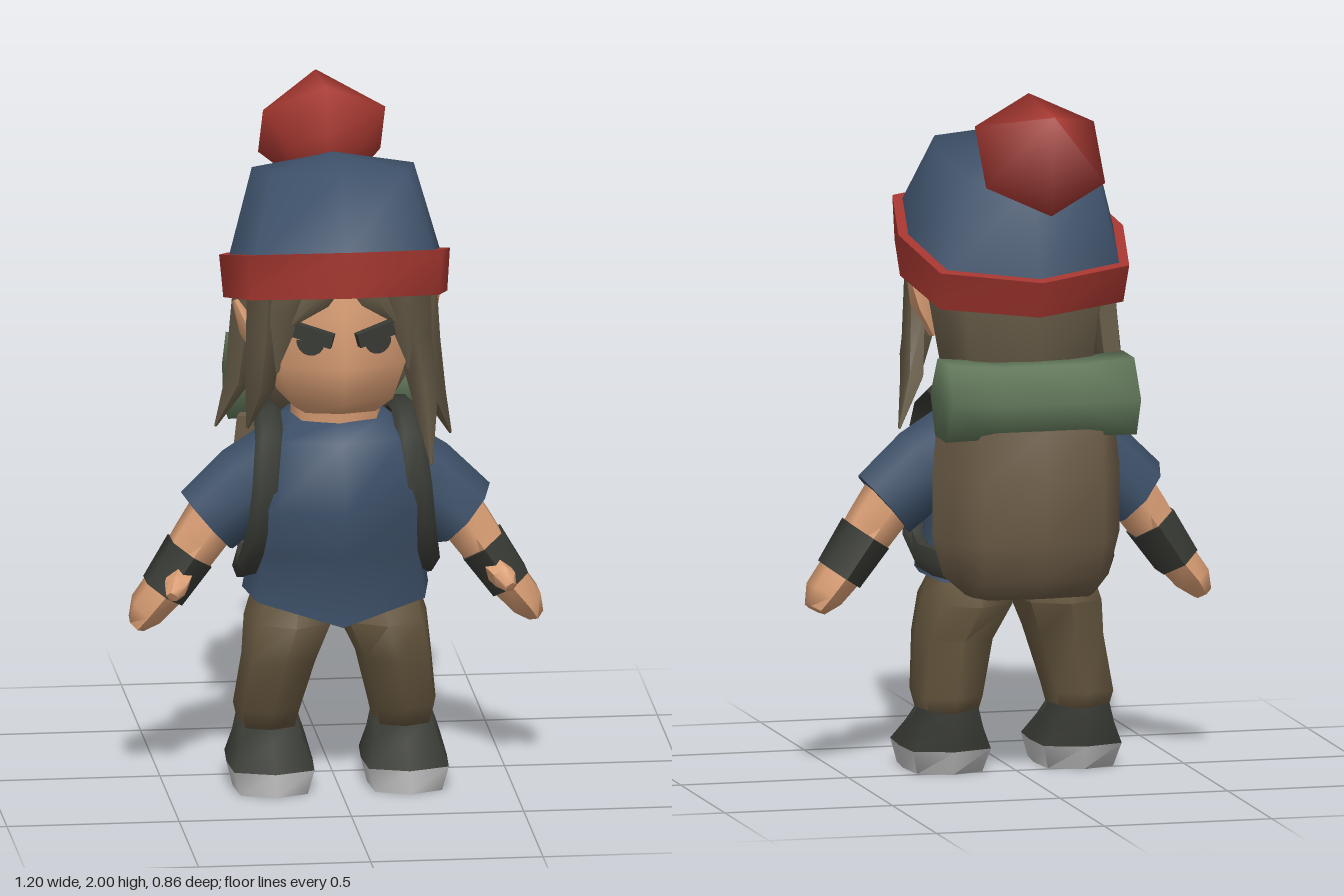
import * as THREE from 'three';
import { toCreasedNormals } from 'three/addons/utils/BufferGeometryUtils.js';

const colours = {
  blueCloth: 0x3d5068, redWool: 0xa4362f, skin: 0xdca076, hairBrown: 0x665b47, trouserBrown: 0x66573f,
  packBrown: 0x6b5b46, greenRoll: 0x61775a, darkLeather: 0x383a34, soleWhite: 0xc4c4c4,
};

// Closed skin over a stack of equal-sized loops, with both ends capped
function loft(rings, crease = 1.2) {
  const n = rings[0].length, pos = rings.flat(2), idx = [];
  const last = rings.length - 1;
  for (let i = 0; i < last; i++) {
    for (let j = 0; j < n; j++) {
      const k = (j + 1) % n, a = i * n + j, b = i * n + k, c = b + n, d = a + n;
      idx.push(a, b, c, a, c, d);
    }
  }
  for (const end of [0, last]) {
    const centre = pos.length / 3;
    for (let q = 0; q < 3; q++) pos.push(rings[end].reduce((s, p) => s + p[q], 0) / n);
    for (let j = 0; j < n; j++) {
      const a = end * n + j, b = end * n + (j + 1) % n;
      if (end) idx.push(a, b, centre); else idx.push(b, a, centre);
    }
  }
  const g = new THREE.BufferGeometry();
  g.setAttribute('position', new THREE.Float32BufferAttribute(pos, 3));
  g.setIndex(idx);
  return toCreasedNormals(g, crease);
}

// Eight-cornered loop around y; y may be a function of z and x
function ring(y, hw, zf, zb, cx = 0, kx = 0.84, kz = 0.74) {
  const zc = (zf + zb) / 2, h = (zf - zb) / 2;
  const corners = [[1, 0], [kx, -kz], [0, -1], [-kx, -kz], [-1, 0], [-kx, kz], [0, 1], [kx, kz]];
  return corners.map(([u, v]) => {
    const x = cx + u * hw, z = zc + v * h;
    return [x, typeof y === 'function' ? y(z, x) : y, z];
  });
}

// Narrows a loop towards the back, away from depth z0
const taper = (loop, z0, rate) => loop.map(([x, y, z]) => [x * (1 + rate * (z - z0)), y, z]);

// Loops set across a path; each row is [x, y, z, radius along ref, other radius]
function limb(rows, n, ref, crease) {
  const pts = rows.map((r) => new THREE.Vector3(r[0], r[1], r[2]));
  return loft(rows.map((r, i) => {
    const d = pts[Math.min(i + 1, pts.length - 1)].clone().sub(pts[Math.max(i - 1, 0)]).normalize();
    const u = new THREE.Vector3(...ref).addScaledVector(d, -d.dot(new THREE.Vector3(...ref))).normalize();
    const v = d.clone().cross(u);
    return Array.from({ length: n }, (_, j) => {
      const a = (j / n) * Math.PI * 2;
      return pts[i].clone().addScaledVector(u, r[3] * Math.cos(a))
        .addScaledVector(v, (r[4] ?? r[3]) * Math.sin(a)).toArray();
    });
  }), crease);
}

export function createModel() {
  const model = new THREE.Group();
  model.name = 'hiker';
  const mats = {};
  for (const [name, color] of Object.entries(colours)) {
    mats[name] = new THREE.MeshStandardMaterial({ color });
    mats[name].name = name;
  }
  const add = (name, geometry, mat) => {
    const mesh = new THREE.Mesh(geometry, mats[mat]);
    mesh.name = name;
    model.add(mesh);
    return mesh;
  };
  const flip = (s, rows) => rows.map(([x, ...rest]) => [s * x, ...rest]);
  const X = [1, 0, 0], Y = [0, 1, 0], Z = [0, 0, 1];

  // Shirt with a hem that dips at the front
  const hem = (z, x) => (z > 0.07 ? 0.505 + 0.28 * Math.abs(x) : 0.55 + 0.1 * Math.abs(x));
  add('shirt', loft([
    ring(hem, 0.27, 0.287, -0.14, 0, 0.9), ring(0.71, 0.25, 0.287, -0.11, 0, 0.88), ring(0.86, 0.25, 0.365, -0.1),
    ring(1.05, 0.21, 0.27, -0.09), ring(1.1, 0.15, 0.2, -0.04),
  ]), 'blueCloth');

  // Head and neck
  add('neck', loft([ring(1.04, 0.13, 0.2, -0.04), ring(1.2, 0.13, 0.22, -0.04)]), 'skin');
  add('head', loft([
    ring((z) => 1.11 + Math.max(0, z) * 0.1, 0.12, 0.25, -0.02), ring(1.18, 0.175, 0.31, -0.08),
    ring(1.29, 0.215, 0.34, -0.13), ring(1.44, 0.225, 0.335, -0.15), ring(1.56, 0.22, 0.32, -0.15),
  ]), 'skin');

  // Hair at the back of the head
  add('backHair', loft([
    ring(1.07, 0.16, 0.0, -0.15, 0, 0.9), ring(1.2, 0.21, 0.05, -0.205, 0, 0.95, 0.8),
    ring(1.38, 0.232, 0.075, -0.215, 0, 0.95, 0.8), ring(1.53, 0.235, 0.085, -0.215, 0, 0.95, 0.8),
  ].map((r) => taper(r, -0.08, 1))), 'hairBrown');

  // Hat: turned-up brim, crown and bobble
  const brimTop = (z) => 1.555 + 0.257 * z, brimLow = (z) => 1.43 + 0.229 * z;
  add('hatBrim', loft([
    ring(brimLow, 0.29, 0.39, -0.24), ring(brimLow, 0.325, 0.43, -0.27),
    ring(brimTop, 0.335, 0.43, -0.31), ring(brimTop, 0.3, 0.4, -0.28),
  ]), 'redWool');
  add('hatCrown', loft([
    ring((z) => brimTop(z) - 0.01, 0.308, 0.408, -0.285),
    ring((z) => 1.815 + z * (z < 0 ? 0.35 : 0.13), 0.235, 0.23, -0.2),
    ring(1.852, 0.01, 0.02, 0),
  ], 1.5), 'blueCloth');
  add('hatBobble', limb([
    [0, 1.74, -0.15, 0.05], [0, 1.78, -0.185, 0.127], [0, 1.845, -0.272, 0.205], [0, 1.978, -0.43, 0.004],
  ], 6, Y, 1.8), 'redWool');

  // Long loose locks, uneven from side to side
  const locks = [
    [[0.2, 1.54, 0.23, 0.09, 0.06], [0.21, 1.36, 0.22, 0.075, 0.055], [0.24, 1.18, 0.25, 0.05, 0.04], [0.25, 1.0, 0.34, 0.004]],
    [[0.25, 1.5, 0.17, 0.035], [0.262, 1.33, 0.15, 0.04, 0.035], [0.285, 1.15, 0.09, 0.045, 0.035], [0.34, 1.01, 0.03, 0.004]],
    [[-0.22, 1.54, 0.23, 0.09, 0.06], [-0.225, 1.36, 0.22, 0.075, 0.055], [-0.235, 1.22, 0.21, 0.055, 0.045], [-0.265, 1.08, 0.17, 0.004]],
    [[-0.24, 1.5, -0.03, 0.06, 0.045], [-0.255, 1.33, -0.03, 0.06, 0.045], [-0.27, 1.17, -0.05, 0.045, 0.04], [-0.33, 1.02, -0.08, 0.004]],
  ];
  for (const rows of locks) add('hairLock', limb(rows, 5, Z), 'hairBrown');

  for (const s of [1, -1]) {
    const side = s > 0 ? 'left' : 'right';

    // Fringe, ears, brows and eyes
    add(side + 'Fringe', limb(flip(s, [
      [0.02, 1.57, 0.335, 0.02, 0.03], [0.08, 1.51, 0.325, 0.035, 0.045], [0.15, 1.42, 0.305, 0.004],
    ]), 5, Z), 'hairBrown');
    add(side + 'Temple', limb(flip(s, [
      [0.13, 1.55, 0.3, 0.05, 0.06], [0.17, 1.46, 0.285, 0.04, 0.05], [0.19, 1.27, 0.27, 0.004],
    ]), 5, Z), 'hairBrown');
    add(side + 'Ear', limb(flip(s, [
      [0.21, 1.27, 0.115, 0.02], [0.255, 1.36, 0.11, 0.05, 0.03], [0.292, 1.44, 0.085, 0.02, 0.01],
    ]), 5, Z), 'skin');
    const brow = add(side + 'Brow', new THREE.BoxGeometry(0.115, 0.042, 0.03), 'darkLeather');
    brow.position.set(s * 0.088, 1.392, 0.318);
    brow.rotation.set(0, s * 0.31, s * 0.26, 'YXZ');
    const eye = add(side + 'Eye', new THREE.CircleGeometry(0.042, 8, Math.PI, Math.PI), 'darkLeather');
    eye.position.set(s * 0.098, 1.372, 0.315);
    eye.rotation.set(0, s * 0.31, s * 0.1, 'YXZ');

    // Sleeve, arm, wristband and thumb
    add(side + 'Sleeve', limb(flip(s, [
      [0.11, 0.985, 0.07, 0.13, 0.12], [0.25, 0.89, 0.075, 0.14, 0.125], [0.373, 0.783, 0.08, 0.127, 0.115],
    ]), 8, Z), 'blueCloth');
    add(side + 'Arm', limb(flip(s, [
      [0.33, 0.83, 0.085, 0.1, 0.085], [0.4, 0.73, 0.09, 0.09, 0.078], [0.485, 0.605, 0.095, 0.09, 0.065],
      [0.55, 0.525, 0.09, 0.088, 0.055], [0.578, 0.482, 0.085, 0.06, 0.028],
    ]), 6, Z), 'skin');
    add(side + 'Wristband', limb(flip(s, [
      [0.424, 0.697, 0.093, 0.1, 0.08], [0.503, 0.58, 0.096, 0.097, 0.07],
    ]), 6, Z), 'darkLeather');
    add(side + 'Thumb', limb(flip(s, [
      [0.455, 0.635, 0.14, 0.04], [0.475, 0.622, 0.21, 0.036], [0.492, 0.6, 0.243, 0.018],
    ]), 5, Y), 'skin');

    // Trouser leg and shoe
    const cx = s * 0.195;
    add(side + 'Leg', loft([
      ring(0.17, 0.085, 0.155, -0.05, cx), ring(0.23, 0.099, 0.185, -0.08, cx),
      ring(0.39, 0.11, 0.25, -0.05, s * 0.165), ring(0.5, 0.132, 0.27, -0.122, s * 0.133, 0.8, 0.7),
      ring(0.6, 0.115, 0.205, -0.065, s * 0.118, 0.72, 0.7),
    ]), 'trouserBrown');
    const toe = ring(0.07, 0.125, 0.285, -0.055, cx, 0.93, 0.76);
    add(side + 'Sole', loft([ring(0, 0.108, 0.283, -0.03, cx, 0.9, 0.74), toe]), 'soleWhite');
    add(side + 'Shoe', loft([
      toe, ring(0.135, 0.108, 0.2, -0.058, cx), ring(0.192, 0.09, 0.125, -0.055, cx),
    ]), 'darkLeather');

    // Flat pack strap over the shoulder and back under the arm
    add(side + 'Strap', limb(flip(s, [
      [0.19, 1.02, -0.15, 0.04, 0.02], [0.195, 1.09, -0.04, 0.04, 0.022], [0.2, 1.105, 0.1, 0.04, 0.022],
      [0.205, 1.05, 0.215, 0.042, 0.024], [0.215, 0.92, 0.262, 0.046, 0.026], [0.225, 0.8, 0.245, 0.048, 0.026],
      [0.255, 0.67, 0.16, 0.04, 0.034], [0.27, 0.635, 0.04, 0.025, 0.04], [0.255, 0.63, -0.06, 0.022, 0.045],
      [0.19, 0.62, -0.17, 0.02, 0.045],
    ]), 6, X), 'darkLeather');
  }

  // Backpack, broad against the back, and bedroll
  add('backpack', loft([
    ring(0.545, 0.18, -0.13, -0.27, 0, 0.94, 0.82), ring(0.6, 0.225, -0.1, -0.31, 0, 0.95, 0.84),
    ring(0.71, 0.25, -0.092, -0.345, 0, 0.95, 0.84), ring(0.9, 0.25, -0.092, -0.345, 0, 0.95, 0.84),
    ring(1.04, 0.235, -0.09, -0.31, 0, 0.95, 0.84),
  ].map((r) => taper(r, -0.2, 2))), 'packBrown');
  add('bedroll', limb([
    [-0.28, 1.13, -0.225, 0.13], [-0.12, 1.125, -0.225, 0.12],
    [0.12, 1.125, -0.225, 0.12], [0.28, 1.13, -0.225, 0.13],
  ], 6, Z, 1.7), 'greenRoll');

  return model;
}
